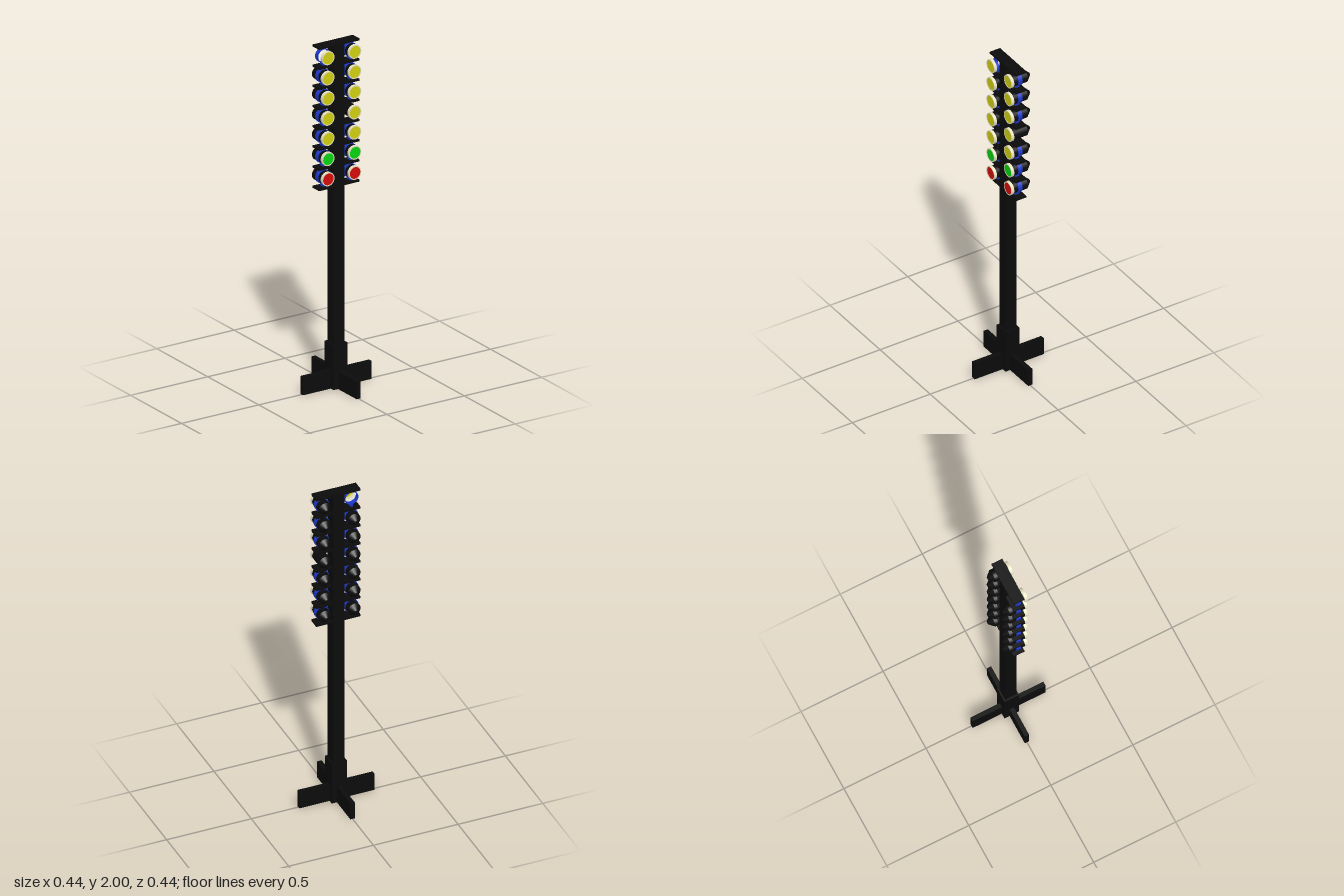
import * as THREE from 'three';

const mat = (name, color, extra = {}) => new THREE.MeshStandardMaterial({ name, color, ...extra });

export function createModel() {
  const black = mat('black', 0x0b0b0b);
  const blue = mat('blue', 0x1c38cc);
  const cream = mat('cream', 0xe6e2c0);
  const yellow = mat('yellow', 0xd2d010);
  const green = mat('green', 0x08d412);
  const red = mat('red', 0xd60c0c);

  const model = new THREE.Group();
  model.name = 'startingLightTree';

  const add = (parent, name, geometry, material, x = 0, y = 0, z = 0) => {
    const mesh = new THREE.Mesh(geometry, material);
    mesh.name = name;
    mesh.position.set(x, y, z);
    parent.add(mesh);
    return mesh;
  };
  const box = (w, h, d) => new THREE.BoxGeometry(w, h, d);

  // Turned part along z; each pair is [radius, z], listed from back to front.
  const turned = (points) => {
    const profile = points.map(([r, z]) => new THREE.Vector2(r, z));
    return new THREE.LatheGeometry(profile, 32).rotateX(Math.PI / 2);
  };
  // Separate lathe bands keep the edges between them sharp.
  const addTurned = (parent, name, points, material) => {
    const group = new THREE.Group();
    group.name = name;
    for (let i = 0; i < points.length - 1; i++)
      add(group, name + 'Band', turned([points[i], points[i + 1]]), material);
    parent.add(group);
  };

  // Crossed feet, sleeve and post
  add(model, 'footAcross', box(0.444, 0.104, 0.026), black, 0, 0.052, 0);
  add(model, 'footAlong', box(0.026, 0.104, 0.444), black, 0, 0.052, 0);
  add(model, 'sleeve', box(0.089, 0.258, 0.089), black, 0, 0.131, 0);
  add(model, 'post', box(0.068, 1.99, 0.068), black, 0, 1.004, 0);

  // Shelves between the rows
  const pitch = 0.117;
  for (let i = 0; i < 8; i++)
    add(model, 'shelf', box(0.262, 0.011, 0.066), black, 0, 1.9945 - i * pitch, 0);

  // One lamp: hollow rim, lens, rear can and blue clamp on a stem
  const lamp = (lensMaterial, hasCan, hasClamp) => {
    const group = new THREE.Group();
    group.name = 'lamp';
    addTurned(group, 'rim', [[0.034, 0.057], [0.034, 0.04], [0.0395, 0.04], [0.0395, 0.057], [0.034, 0.057]], cream);
    const lens = new THREE.CylinderGeometry(0.034, 0.034, 0.006, 32).rotateX(Math.PI / 2);
    add(group, 'lens', lens, lensMaterial, 0, 0, 0.053);
    if (hasCan)
      addTurned(group, 'can', [[0, -0.08], [0.009, -0.08], [0.0365, -0.05], [0.0365, 0.043], [0, 0.043]], black);
    if (hasClamp) {
      addTurned(group, 'clamp', [[0.0365, 0.013], [0.0365, -0.013], [0.0405, -0.013], [0.0405, 0.013], [0.0365, 0.013]], blue);
      add(group, 'stem', box(0.014, 0.018, 0.026), blue, 0, -0.046, 0);
    }
    return group;
  };

  // Two columns of seven; one lamp has lost its can, another its clamp
  const lenses = [yellow, yellow, yellow, yellow, yellow, green, red];
  for (const side of [-1, 1]) {
    lenses.forEach((lens, row) => {
      const unit = lamp(lens, !(side < 0 && row === 0), !(side > 0 && row === 3));
      unit.position.set(side * 0.0865, 1.939 - row * pitch, 0);
      model.add(unit);
    });
  }

  // Lathe profiles run either way round, so make their surfaces two-sided
  for (const m of [black, blue, cream]) m.side = THREE.DoubleSide;
  return model;
}
